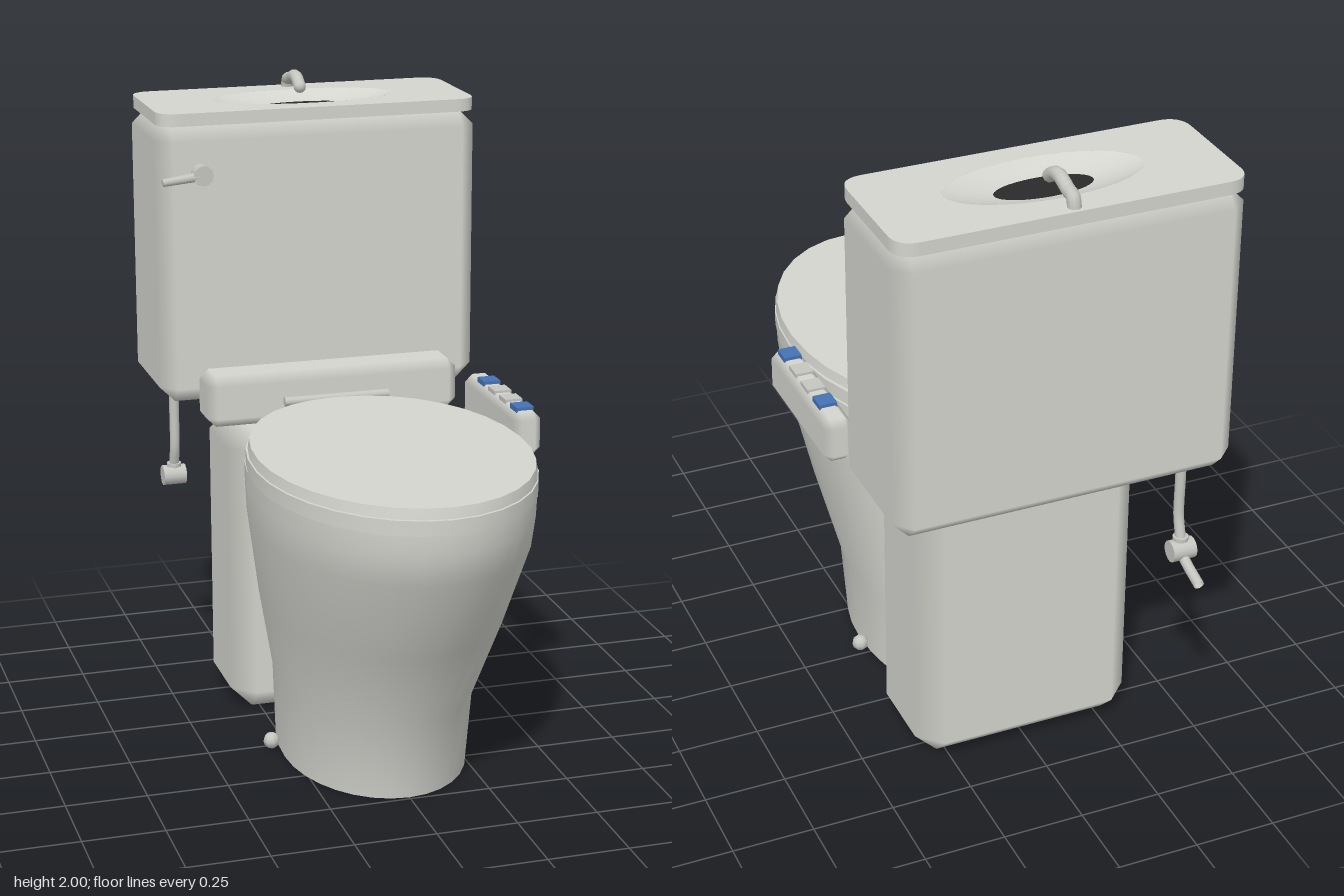
import * as THREE from 'three';
import { ConvexGeometry } from 'three/addons/geometries/ConvexGeometry.js';

const colour = (name, hex, side = THREE.FrontSide) => {
  const m = new THREE.MeshStandardMaterial({ color: hex, side });
  m.name = name;
  return m;
};

// Box with chamfered edges: flat main faces, softly shaded chamfers
function chamferBox(w, h, d, c) {
  const half = [w / 2, h / 2, d / 2];
  const points = [];
  for (let axis = 0; axis < 3; axis++)
    for (const sx of [-1, 1]) for (const sy of [-1, 1]) for (const sz of [-1, 1]) {
      const p = [sx, sy, sz].map((s, i) => s * (half[i] - (i === axis ? 0 : c)));
      points.push(new THREE.Vector3(...p));
    }
  const geo = new ConvexGeometry(points);
  const pos = geo.attributes.position, nor = geo.attributes.normal;
  for (let i = 0; i < pos.count; i++) {
    const p = [pos.getX(i), pos.getY(i), pos.getZ(i)];
    const n = p.map((v, k) => (Math.abs(v) > half[k] - c / 2 ? Math.sign(v) : 0));
    nor.setXYZ(i, ...n);
  }
  return geo;
}

// Capped loft through oval sections [y, halfWidth, zFront, zBack]
function ovalLoft(sections, backPower, sides = 32) {
  const pos = [], index = [];
  const ring = ([y, w, zf, zb]) => {
    const mid = (zf + zb) / 2, len = (zf - zb) / 2, start = pos.length / 3;
    for (let i = 0; i < sides; i++) {
      const a = (i / sides) * Math.PI * 2, s = Math.sin(a), c = Math.cos(a);
      const e = c < 0 ? 2 / backPower : 1;
      pos.push(w * Math.sign(s) * Math.abs(s) ** e, y, mid + len * Math.sign(c) * Math.abs(c) ** e);
    }
    return start;
  };
  const starts = sections.map(ring);
  for (let k = 0; k < starts.length - 1; k++)
    for (let i = 0; i < sides; i++) {
      const j = (i + 1) % sides, a = starts[k], b = starts[k + 1];
      index.push(a + i, a + j, b + j, a + i, b + j, b + i);
    }
  const bottom = ring(sections[0]), top = ring(sections[sections.length - 1]);
  for (let i = 1; i < sides - 1; i++) {
    index.push(bottom, bottom + i + 1, bottom + i);
    index.push(top, top + i, top + i + 1);
  }
  const geo = new THREE.BufferGeometry();
  geo.setAttribute('position', new THREE.Float32BufferAttribute(pos, 3));
  geo.setIndex(index);
  geo.computeVertexNormals();
  return geo;
}

function tube(points, radius, sides = 10) {
  const path = new THREE.CurvePath();
  const v = points.map((p) => new THREE.Vector3(...p));
  for (let i = 1; i < v.length; i++) path.add(new THREE.LineCurve3(v[i - 1], v[i]));
  const curve = v.length > 2 ? new THREE.CatmullRomCurve3(v, false, 'centripetal') : path;
  return new THREE.TubeGeometry(curve, 16, radius, sides, false);
}

export function createModel() {
  const model = new THREE.Group();
  model.name = 'toilet';
  const porcelain = colour('porcelain', 0xd4d5ce, THREE.DoubleSide);
  const metal = colour('metal', 0xc6c6c1, THREE.DoubleSide);
  const dark = colour('drain dark', 0x2a2a2a);
  const blue = colour('button blue', 0x4672b4);

  const add = (name, geo, mat, x = 0, y = 0, z = 0) => {
    const mesh = new THREE.Mesh(geo, mat);
    mesh.name = name;
    mesh.position.set(x, y, z);
    model.add(mesh);
    return mesh;
  };

  // Pedestal bowl, seat and closed lid
  add('bowl', ovalLoft([
    [0, 0.28, 0.49, -0.295], [0.25, 0.292, 0.53, -0.295], [0.52, 0.35, 0.69, -0.29],
    [0.8, 0.4, 0.845, -0.28], [0.9, 0.408, 0.867, -0.275], [0.96, 0.41, 0.87, -0.27],
  ], 2.4), porcelain);
  add('seat', ovalLoft([[0.96, 0.413, 0.87, -0.27], [1.005, 0.413, 0.87, -0.27]], 2.2), porcelain);
  add('seatLid', ovalLoft([[1.008, 0.41, 0.868, -0.27], [1.04, 0.405, 0.862, -0.265]], 2.1), porcelain);
  add('hinge', new THREE.CylinderGeometry(0.015, 0.015, 0.34, 10).rotateZ(Math.PI / 2), metal, 0, 1.035, -0.277);

  // Floor bolts
  for (const s of [-1, 1])
    add(s > 0 ? 'leftBolt' : 'rightBolt', new THREE.SphereGeometry(0.026, 8, 6), metal, s * 0.303, 0.028, 0.022);

  // Rear column, washing unit and cistern
  add('rearColumn', chamferBox(0.695, 0.95, 0.37, 0.07), porcelain, 0, 0.48, -0.435);
  add('washUnit', chamferBox(0.82, 0.165, 0.15, 0.03), porcelain, 0, 1.04, -0.37);
  add('cistern', chamferBox(1.04, 0.89, 0.42, 0.05), porcelain, 0, 1.445, -0.66);

  // Cistern lid with an oval opening
  const w = 0.515, d = 0.213, r = 0.07;
  const outline = new THREE.Shape();
  outline.moveTo(-w + r, -d);
  outline.lineTo(w - r, -d).quadraticCurveTo(w, -d, w, -d + r);
  outline.lineTo(w, d - r).quadraticCurveTo(w, d, w - r, d);
  outline.lineTo(-w + r, d).quadraticCurveTo(-w, d, -w, d - r);
  outline.lineTo(-w, -d + r).quadraticCurveTo(-w, -d, -w + r, -d);
  const hole = new THREE.Path();
  hole.absellipse(0, -0.008, 0.295, 0.13, 0, Math.PI * 2, true);
  outline.holes.push(hole);
  const lid = new THREE.ExtrudeGeometry(outline, { depth: 0.04, bevelEnabled: false, curveSegments: 16 });
  add('cisternLid', lid.rotateX(-Math.PI / 2), porcelain, 0, 1.89, -0.657);

  // Hand basin and drain
  const dish = [[0, 0.003], [0.3, 0.004], [0.5, 0.009], [0.8, 0.024], [1, 0.04]];
  const basin = add('basin', new THREE.LatheGeometry(dish.map((p) => new THREE.Vector2(...p)), 40),
    porcelain, 0, 1.89, -0.649);
  basin.scale.set(0.295, 1, 0.13);
  const drain = add('drain', new THREE.CircleGeometry(1, 32).rotateX(-Math.PI / 2), dark, 0, 1.901, -0.649);
  drain.scale.set(0.147, 1, 0.06);

  // Spout
  add('spout', tube([[0, 1.92, -0.842], [0, 1.955, -0.832], [0, 1.962, -0.8], [0, 1.978, -0.75],
    [0, 1.975, -0.72], [0, 1.953, -0.685]], 0.02), metal);
  add('spoutTip', new THREE.SphereGeometry(0.02, 10, 8), metal, 0, 1.953, -0.685);

  // Flush lever
  add('leverPivot', new THREE.CylinderGeometry(0.032, 0.032, 0.045, 12).rotateX(Math.PI / 2),
    metal, -0.385, 1.74, -0.43);
  const lever = add('leverArm', new THREE.CylinderGeometry(0.012, 0.016, 0.14, 8).rotateZ(Math.PI / 2),
    metal, -0.445, 1.732, -0.418);
  lever.rotation.set(0, 0.08, 0.1);

  // Control arm with four buttons
  add('controlArm', chamferBox(0.09, 0.14, 0.49, 0.024), porcelain, 0.472, 1.005, -0.055);
  [-0.175, -0.075, 0.025, 0.125].forEach((z, i) => {
    const outer = i === 0 || i === 3;
    add('button' + (i + 1), new THREE.BoxGeometry(0.055, outer ? 0.02 : 0.015, 0.06),
      outer ? blue : metal, 0.472, 1.075, z);
  });

  // Water supply pipe and stop valve
  const px = -0.425;
  add('supplyPipe', tube([[px, 1.01, -0.72], [px, 0.9, -0.72], [px, 0.78, -0.72],
    [px, 0.74, -0.73], [px, 0.69, -0.745]], 0.016), metal);
  add('valve', new THREE.CylinderGeometry(0.033, 0.033, 0.075, 14).rotateZ(Math.PI / 2), metal, px, 0.675, -0.745);
  add('valveCollar', new THREE.CylinderGeometry(0.024, 0.024, 0.012, 12), metal, px, 0.712, -0.739);
  add('wallPipe', tube([[px, 0.66, -0.755], [px, 0.645, -0.79], [px, 0.622, -0.865]], 0.016), metal);
  return model;
}
